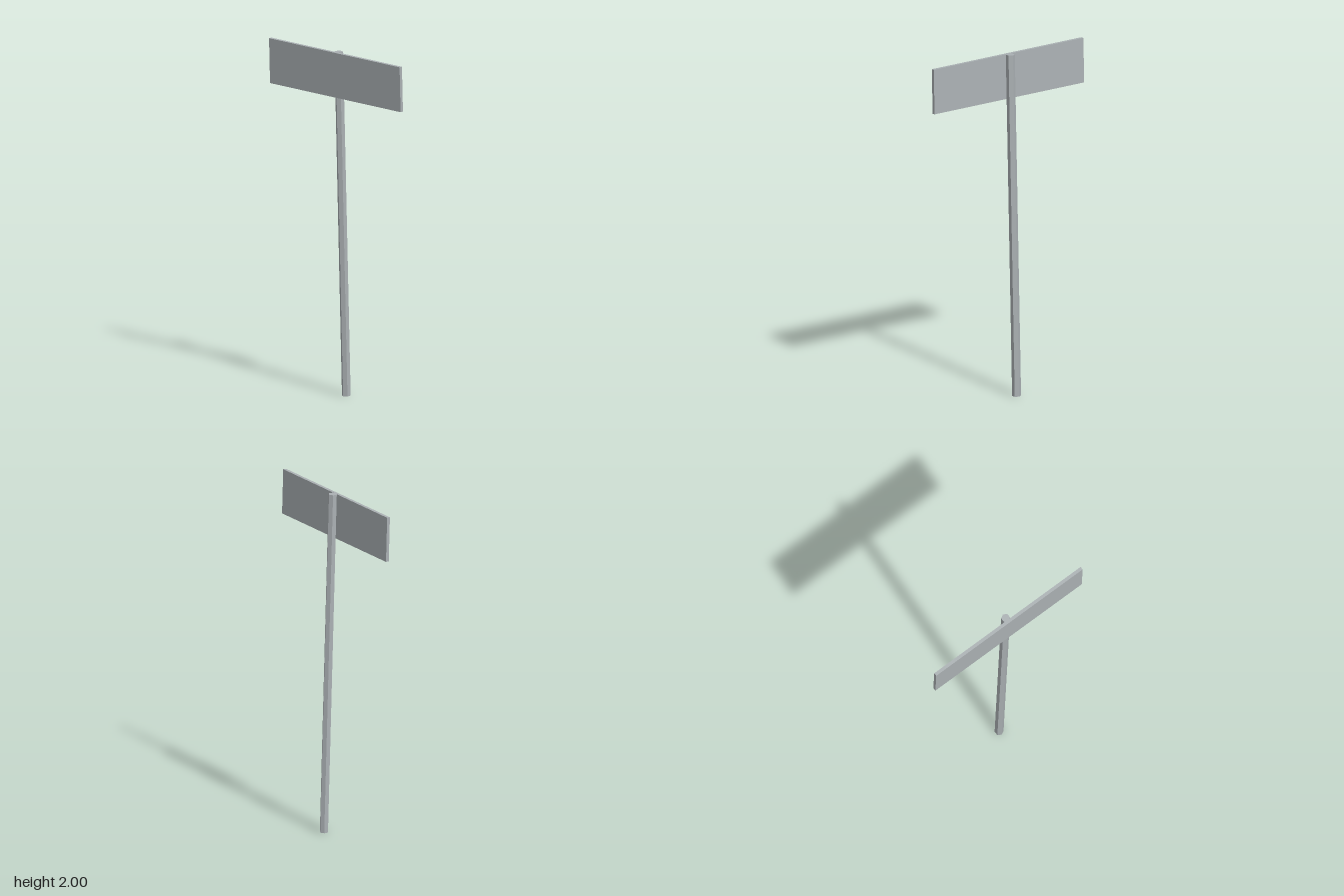
import * as THREE from 'three';

export function createModel() {
  const model = new THREE.Group();
  model.name = 'signpost';

  const metal = new THREE.MeshStandardMaterial({ color: 0xabb1b4 });
  metal.name = 'light grey metal';

  // The whole sign leans slightly forward
  const leaning = new THREE.Group();
  leaning.name = 'leaningSign';
  leaning.position.set(0, 1, -0.0055);
  leaning.rotation.x = Math.atan(0.03);
  model.add(leaning);

  const add = (name, geometry, x, y, z) => {
    const mesh = new THREE.Mesh(geometry, metal);
    mesh.name = name;
    mesh.position.set(x, y, z);
    leaning.add(mesh);
  };

  // Hexagonal post, with edges facing front and back
  const post = new THREE.CylinderGeometry(0.0255, 0.0255, 1.9993, 6).toNonIndexed();
  post.computeVertexNormals();
  add('post', post, 0, 0, 0);

  // Thin board fixed to the front of the post
  add('signBoard', new THREE.BoxGeometry(1.044, 0.261, 0.019), 0, 0.8695, 0.0262);

  return model;
}
